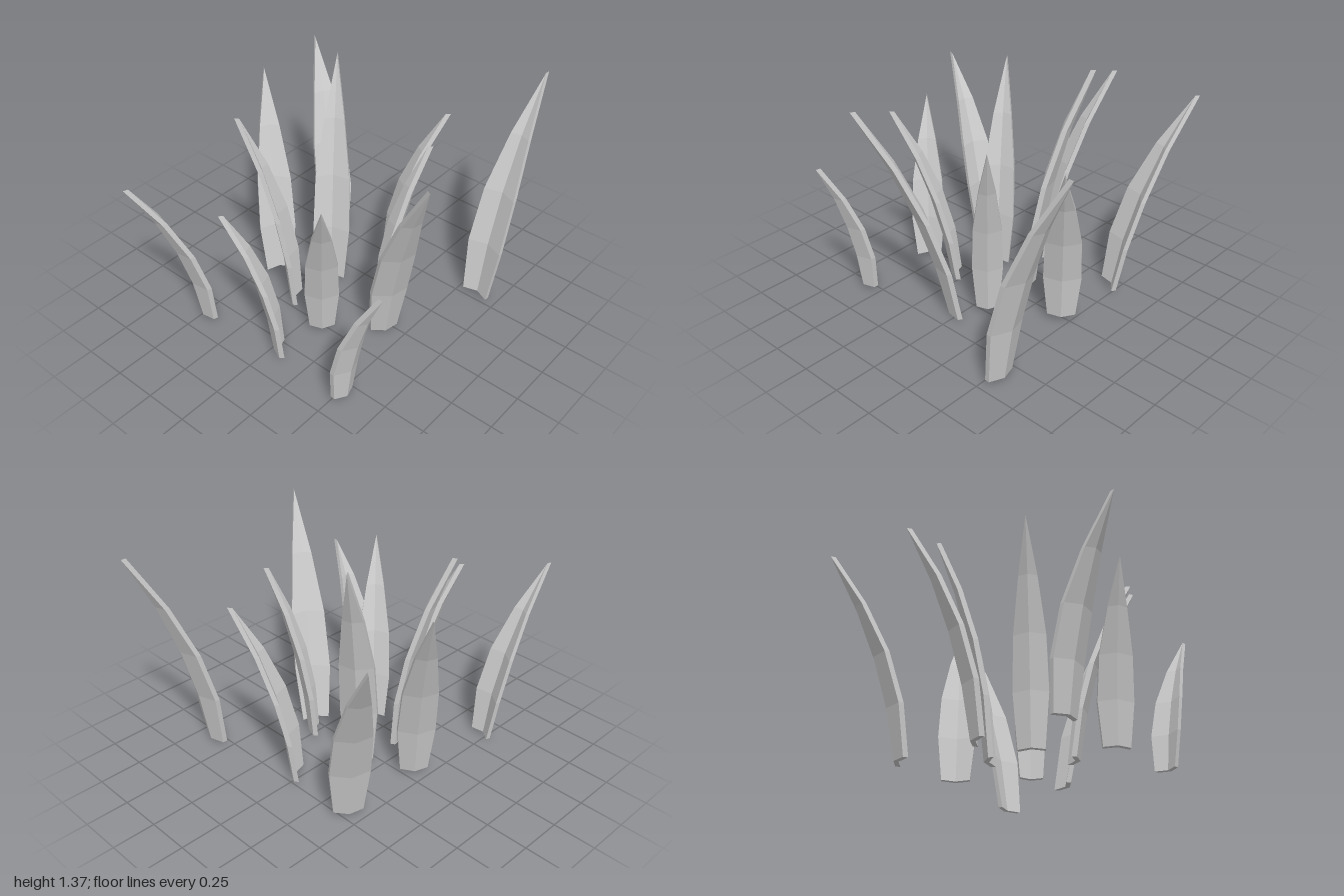
import * as THREE from 'three';

const material = new THREE.MeshStandardMaterial({ color: 0xcccccc, flatShading: true });

const THICKNESS = 0.028;
const CREASE = 0.04;                       // depth of the V-shaped fold
const WIDTHS = [0.75, 1, 0.92, 0.54, 0];   // width from root to tip, relative to widest

// One folded blade that curves outwards from its root to a pointed tip.
// root / tip: [x, y, z]; bend: share of the lean that is straight, not curved
function makeBlade(root, tip, width, bend = 0.1) {
  const dir = new THREE.Vector3(tip[0] - root[0], 0, tip[2] - root[2]);
  const reach = dir.length() - THICKNESS;
  dir.normalize();
  const side = new THREE.Vector3(0, 1, 0).cross(dir);
  const positions = [];
  const index = [];
  const rings = WIDTHS.length;

  WIDTHS.forEach((w, i) => {
    const t = i / (rings - 1);
    const lean = reach * (bend * t + (1 - bend) * t * t);
    const y = root[1] + (tip[1] - root[1]) * t;
    const half = (w * width) / 2;
    const fold = CREASE * w;
    // chevron section: rim, outer crease, rim, inner crease
    const section = [
      [0, -half], [THICKNESS, -half], [fold + THICKNESS, 0],
      [THICKNESS, half], [0, half], [fold, 0],
    ];
    for (const [u, s] of section) {
      positions.push(
        root[0] + dir.x * (lean + u) + side.x * s,
        y,
        root[2] + dir.z * (lean + u) + side.z * s,
      );
    }
  });

  const quad = (a, b, c, d) => index.push(a, b, c, a, c, d);
  for (let i = 0; i < rings - 1; i++) {
    for (let j = 0; j < 6; j++) {
      const k = (j + 1) % 6;
      quad(i * 6 + j, i * 6 + k, i * 6 + 6 + k, i * 6 + 6 + j);
    }
  }
  // root cap
  quad(5, 2, 1, 0);
  quad(5, 4, 3, 2);

  const geometry = new THREE.BufferGeometry();
  geometry.setAttribute('position', new THREE.Float32BufferAttribute(positions, 3));
  geometry.setIndex(index);
  const flat = geometry.toNonIndexed();
  flat.computeVertexNormals();
  return new THREE.Mesh(flat, material);
}

export function createModel() {
  const group = new THREE.Group();
  group.name = 'grassTuft';

  // root, tip, widest width, straight share of the lean
  const blades = [
    [[-0.40, 0.03, -0.45], [-0.80, 1.175, -0.71], 0.22, 0.2],
    [[-0.01, 0.03, -0.43], [0.27, 1.07, -0.65], 0.21, 0.05],
    [[0.617, 0.02, -0.52], [0.65, 1.33, -1.0], 0.22, 0.2],
    [[-0.12, 0.03, -0.07], [-0.315, 1.37, -0.365], 0.21, 0.1],
    [[-0.405, 0.03, 0.07], [-0.735, 1.2, -0.20], 0.21, 0.2],
    [[0.22, 0.035, -0.08], [0.42, 1.11, -0.275], 0.17, 0.05],
    [[0.35, 0.0, 0.02], [0.80, 1.3, 0.29], 0.21, 0.32],
    [[-0.14, 0.03, 0.185], [-0.415, 1.24, 0.35], 0.19, 0.03],
    [[0.095, 0.03, 0.255], [0.345, 1.08, 0.53], 0.19, 0.2],
    [[-0.465, 0.015, 0.59], [-0.575, 1.05, 0.99], 0.19, 0.1],
    [[0.075, 0.025, 0.55], [-0.145, 0.97, 0.755], 0.19, 0.03],
    [[0.51, 0.03, 0.585], [0.80, 0.865, 0.62], 0.175, 0.03],
  ];
  blades.forEach((b, i) => {
    const blade = makeBlade(...b);
    blade.name = `blade${i + 1}`;
    group.add(blade);
  });
  return group;
}
